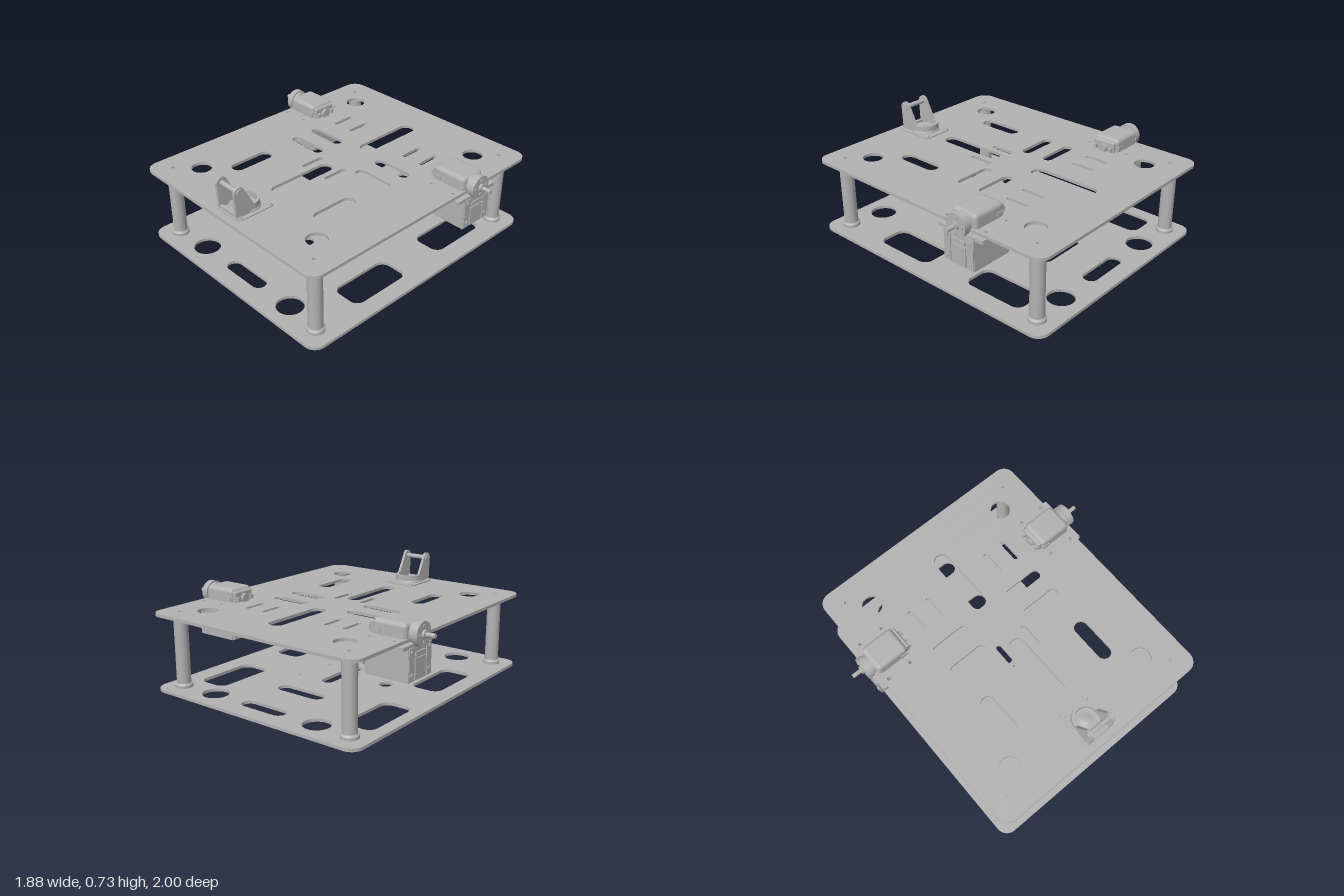
import * as THREE from 'three';
import { RoundedBoxGeometry } from 'three/addons/geometries/RoundedBoxGeometry.js';

const grey = new THREE.MeshStandardMaterial({ color: 0xb2b2b2 });
grey.name = 'metal grey';

function add(parent, name, geometry, x = 0, y = 0, z = 0) {
  const m = new THREE.Mesh(geometry, grey);
  m.name = name;
  m.position.set(x, y, z);
  parent.add(m);
  return m;
}
const box = (w, h, d) => new THREE.BoxGeometry(w, h, d);
const cylX = (r, len, n = 32) => new THREE.CylinderGeometry(r, r, len, n).rotateZ(Math.PI / 2);

// Rounded rectangle centred on (x, z); r = half the short side gives a slot or circle
function rounded(path, x, z, w, d, r) {
  const X = w / 2 - r, Y = d / 2 - r, q = Math.PI / 2;
  [[X, Y], [-X, Y], [-X, -Y], [X, -Y]].forEach(([a, b], i) =>
    path.absarc(x + a, -z + b, r, i * q, (i + 1) * q, false));
  path.closePath();
  return path;
}
const slot = (x, z, w, d) => rounded(new THREE.Path(), x, z, w, d, Math.min(w, d) / 2 - 1e-4);
const hole = (x, z, r) => slot(x, z, 2 * r, 2 * r);
const both = (f) => [f(-1), f(1)];

// Flat horizontal sheet from a plan shape with its underside on y = 0
function sheet(shape, t) {
  return new THREE.ExtrudeGeometry(shape, { depth: t, bevelEnabled: false, curveSegments: 10 }).rotateX(-Math.PI / 2);
}
function deck(holes) {
  const s = rounded(new THREE.Shape(), 0, 0, 1.614, 1.914, 0.08);
  s.holes.push(...holes);
  return sheet(s, 0.02);
}

function makeServo() {
  const g = new THREE.Group();
  g.name = 'driveMotor';
  // body under the deck, with mounting tabs
  add(g, 'gearboxBody', box(0.29, 0.21, 0.235), 0.695, 0.38, 0);
  add(g, 'gearboxBackCover', box(0.02, 0.2, 0.225), 0.541, 0.38, 0);
  const tabs = rounded(new THREE.Shape(), 0.685, 0, 0.31, 0.36, 0.015);
  for (const z of [-0.15, 0.15]) for (const x of [0.6, 0.772]) tabs.holes.push(hole(x, z, 0.013));
  add(g, 'mountingTabs', sheet(tabs, 0.022), 0, 0.478, 0);
  // outer face rails, centre panel and screws
  for (const s of [-1, 1]) {
    add(g, 'faceRail', box(0.012, 0.2, 0.05), 0.84, 0.38, s * 0.09);
    for (const y of [0.315, 0.455]) add(g, 'faceScrew', cylX(0.013, 0.01, 16), 0.848, y, s * 0.09);
  }
  add(g, 'facePanel', box(0.014, 0.13, 0.11), 0.84, 0.345, 0);
  add(g, 'faceStep', box(0.018, 0.025, 0.1), 0.84, 0.435, 0);
  add(g, 'bottomCover', box(0.24, 0.008, 0.17), 0.695, 0.273, 0);
  // motor lying on the deck
  add(g, 'motorBody', new RoundedBoxGeometry(0.235, 0.14, 0.19, 3, 0.028), 0.683, 0.543, 0);
  add(g, 'motorEndCap', new RoundedBoxGeometry(0.03, 0.11, 0.16, 2, 0.012), 0.56, 0.54, 0);
  add(g, 'motorRearBoss', cylX(0.03, 0.03), 0.54, 0.545, 0);
  for (const s of [-1, 1]) {
    add(g, 'terminal', box(0.025, 0.03, 0.02), 0.54, 0.545, s * 0.06);
    add(g, 'sideClip', box(0.05, 0.03, 0.01), 0.6, 0.545, s * 0.096);
  }
  // output disc and shaft
  add(g, 'outputCollar', cylX(0.065, 0.03), 0.81, 0.545, 0);
  add(g, 'outputDisc', cylX(0.076, 0.042), 0.843, 0.545, 0);
  for (let i = 0; i < 4; i++) {
    const a = i * Math.PI / 2;
    add(g, 'discScrew', cylX(0.011, 0.006, 16), 0.866, 0.545 + 0.048 * Math.sin(a), 0.048 * Math.cos(a));
  }
  add(g, 'shaftBoss', cylX(0.026, 0.02, 24), 0.87, 0.545, 0);
  add(g, 'shaft', cylX(0.014, 0.08, 20), 0.9, 0.545, 0);
  return g;
}

function makeCaster() {
  const g = new THREE.Group();
  g.name = 'casterBracket';
  g.position.set(0, 0.52, 0.773);
  // base plate with four screws, and round turntable
  const base = rounded(new THREE.Shape(), 0, 0, 0.235, 0.275, 0.035);
  add(g, 'casterBase', sheet(base, 0.01));
  for (const x of [-0.09, 0.09]) for (const z of [-0.11, 0.11])
    add(g, 'casterScrew', new THREE.CylinderGeometry(0.016, 0.018, 0.008, 20), x, 0.013, z);
  const pts = [[0, 0.022], [0.03, 0.022], [0.03, 0.03], [0.034, 0.018], [0.07, 0.018], [0.085, 0.026], [0.096, 0.024], [0.098, 0.008]];
  pts[0] = [0, 0.03];
  pts.splice(1, 1);
  add(g, 'turntable', new THREE.LatheGeometry(pts.reverse().map(p => new THREE.Vector2(...p)), 40));
  // curved rear wall joining the arms
  const wall = new THREE.Shape();
  wall.absarc(0, 0, 0.092, 0, Math.PI, false);
  wall.absarc(0, 0, 0.074, Math.PI, 0, true);
  add(g, 'rearWall', sheet(wall, 0.05), 0, 0.012, 0);
  // side arms, drawn with shape x = z towards the front
  const arm = new THREE.Shape();
  arm.moveTo(0, 0.012);
  arm.lineTo(0.13, 0.012);
  arm.lineTo(0.138, 0.175);
  arm.absarc(0.1, 0.175, 0.037, 0, Math.PI * 0.85, false);
  arm.lineTo(0, 0.062);
  const armGeo = new THREE.ExtrudeGeometry(arm, { depth: 0.018, bevelEnabled: false, curveSegments: 12 }).rotateY(-Math.PI / 2);
  for (const s of [-1, 1]) {
    add(g, 'forkArm', armGeo, s * 0.083 + 0.009, 0, 0);
    add(g, 'axleCap', cylX(0.026, 0.01, 24), s * 0.095, 0.175, 0.1);
  }
  add(g, 'axle', cylX(0.016, 0.18, 24), 0, 0.175, 0.1);
  add(g, 'frontLip', box(0.17, 0.018, 0.02), 0, 0.02, 0.118);
  return g;
}

export function createModel() {
  const model = new THREE.Group();
  model.name = 'twoDeckChassis';
  const g = new THREE.Group();
  g.name = 'chassis';
  g.position.x = 0.02;
  g.rotation.y = 0.061;
  model.add(g);

  // holes shared by both decks for the posts
  const corners = [];
  for (const x of [-0.675, 0.675]) for (const z of [-0.826, 0.826]) corners.push([x, z]);
  const postHoles = () => corners.map(([x, z]) => hole(x, z, 0.013));

  add(g, 'upperDeck', deck([
    ...postHoles(),
    ...both(s => hole(s * 0.55, -0.705, 0.067)), ...both(s => hole(s * 0.55, 0.693, 0.067)),
    slot(0, -0.467, 0.105, 0.49), slot(0, 0.312, 0.098, 0.48),
    ...both(s => slot(s * 0.25, -0.433, 0.028, 0.165)), ...both(s => slot(s * 0.395, -0.433, 0.028, 0.165)),
    ...both(s => slot(s * 0.105, 0.128, 0.036, 0.175)),
    ...both(s => slot(s * 0.307, -0.181, 0.275, 0.068)), ...both(s => slot(s * 0.307, -0.005, 0.275, 0.068)),
    ...both(s => slot(s * 0.394, 0.405, 0.095, 0.31)),
    ...both(s => hole(s * 0.602, -0.535, 0.012)), ...both(s => hole(s * 0.602, -0.233, 0.012)),
    ...both(s => hole(s * 0.772, -0.535, 0.012)), ...both(s => hole(s * 0.772, -0.233, 0.012)),
  ]), 0, 0.502, 0);

  const window = (x, z) => rounded(new THREE.Path(), x, z, 0.21, 0.44, 0.06);
  add(g, 'lowerDeck', deck([
    ...postHoles(),
    ...both(s => hole(s * 0.415, -0.795, 0.088)), ...both(s => hole(s * 0.415, 0.795, 0.088)),
    slot(0, -0.795, 0.34, 0.1), slot(0, 0.795, 0.34, 0.1), slot(0, -0.45, 0.36, 0.1),
    window(-0.62, -0.47), window(0.57, -0.47), window(-0.59, 0.29), window(0.59, 0.29),
    slot(0, -0.08, 0.085, 0.27), hole(0, 0.132, 0.046), slot(0, 0.32, 0.085, 0.165),
    slot(-0.345, 0, 0.08, 0.1), hole(0, 0.45, 0.011),
    ...both(s => hole(s * 0.2, 0.1, 0.011)), ...both(s => hole(s * 0.2, 0.34, 0.011)),
    ...both(s => hole(s * 0.15, 0.5, 0.011)), ...both(s => hole(s * 0.22, -0.2, 0.011)),
  ]));

  // corner posts with flared feet and heads
  const profile = [[0.001, 0], [0.057, 0], [0.057, 0.018], [0.046, 0.03], [0.046, 0.452], [0.057, 0.464], [0.057, 0.482], [0.001, 0.482]];
  const segs = profile.slice(1).map((p, i) => [profile[i], p]);
  for (const [x, z] of corners) {
    const post = new THREE.Group();
    post.name = 'cornerPost';
    post.position.set(x, 0.02, z);
    // one lathe band per profile step keeps the rims crisp
    for (const s of segs) add(post, 'postBand', new THREE.LatheGeometry(s.map(p => new THREE.Vector2(...p)), 32));
    g.add(post);
  }

  // one motor on each side
  for (const turn of [0, Math.PI]) {
    const servo = makeServo();
    servo.position.z = -0.384;
    servo.rotation.y = turn;
    g.add(servo);
  }
  g.add(makeCaster());
  return model;
}
